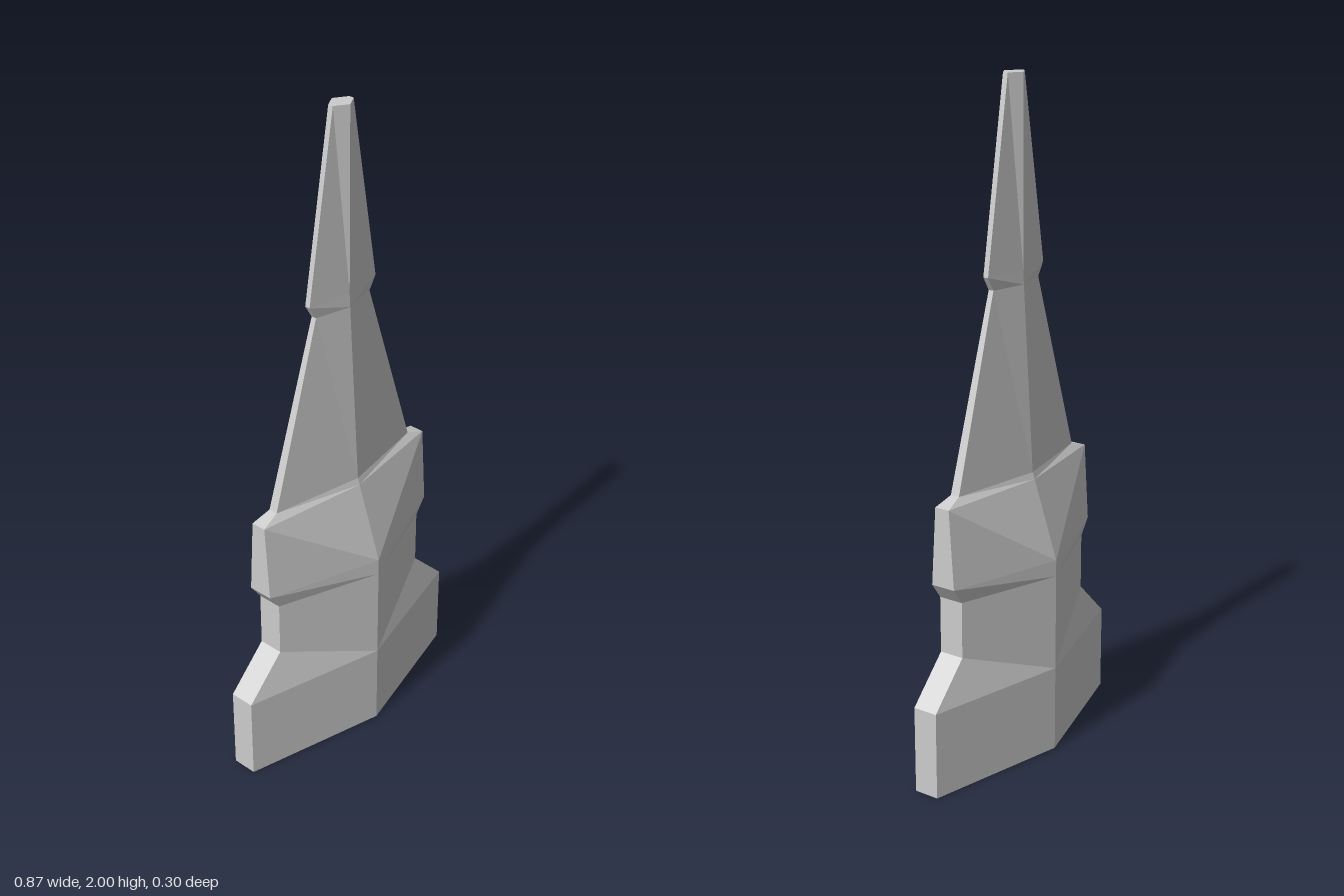
import * as THREE from 'three';

// Six-sided section: sharp ridges at front and back, narrow flat at each side
function ring([y, w, ridge, edge]) {
  return [[0, ridge], [w, edge], [w, -edge], [0, -ridge], [-w, -edge], [-w, edge]]
    .map(([x, z]) => [x, y, z]);
}

// Loft a stack of sections, closing the ends only where asked
function loft(name, sections, material, { bottom = false, top = false } = {}) {
  const rings = sections.map(ring);
  const pos = [];
  const tri = (...corners) => corners.forEach((p) => pos.push(...p));
  for (let s = 0; s < rings.length - 1; s++) {
    for (let i = 0; i < 6; i++) {
      const j = (i + 1) % 6;
      const a = rings[s][i], b = rings[s][j], c = rings[s + 1][j], d = rings[s + 1][i];
      // Diagonals start at the ridges so both halves mirror
      if (i % 3 === 0) { tri(a, b, c); tri(a, c, d); }
      else { tri(a, b, d); tri(b, c, d); }
    }
  }
  const first = rings[0], last = rings[rings.length - 1];
  for (let i = 1; i < 5; i++) {
    if (bottom) tri(first[0], first[i + 1], first[i]);
    if (top) tri(last[0], last[i], last[i + 1]);
  }
  const geometry = new THREE.BufferGeometry();
  geometry.setAttribute('position', new THREE.Float32BufferAttribute(pos, 3));
  geometry.computeVertexNormals();
  const mesh = new THREE.Mesh(geometry, material);
  mesh.name = name;
  return mesh;
}

export function createModel() {
  const group = new THREE.Group();
  group.name = 'spire';
  const grey = new THREE.MeshStandardMaterial({ color: 0xcccccc, flatShading: true });

  // Sections: height, half width, ridge depth, side-flat half depth
  const foot = [0, 0.437, 0.15, 0.038];
  const footTop = [0.265, 0.437, 0.15, 0.038];
  const neckLow = [0.39, 0.31, 0.15, 0.038];
  const neckHigh = [0.56, 0.31, 0.15, 0.038];
  const collarLow = [0.61, 0.346, 0.15, 0.038];
  const collarHigh = [0.845, 0.346, 0.073, 0.023];
  const bladeLow = [0.865, 0.286, 0.066, 0.014];
  const bladeHigh = [1.415, 0.11, 0.034, 0.008];
  const tipLow = [1.455, 0.135, 0.032, 0.008];
  const tipHigh = [2, 0.04, 0.032, 0.008];

  group.add(
    loft('base', [foot, footTop, neckLow], grey, { bottom: true }),
    loft('neck', [neckLow, neckHigh], grey),
    loft('collar', [neckHigh, collarLow, collarHigh, bladeLow], grey),
    loft('blade', [bladeLow, bladeHigh], grey),
    loft('tip', [bladeHigh, tipLow, tipHigh], grey, { top: true }),
  );
  return group;
}
